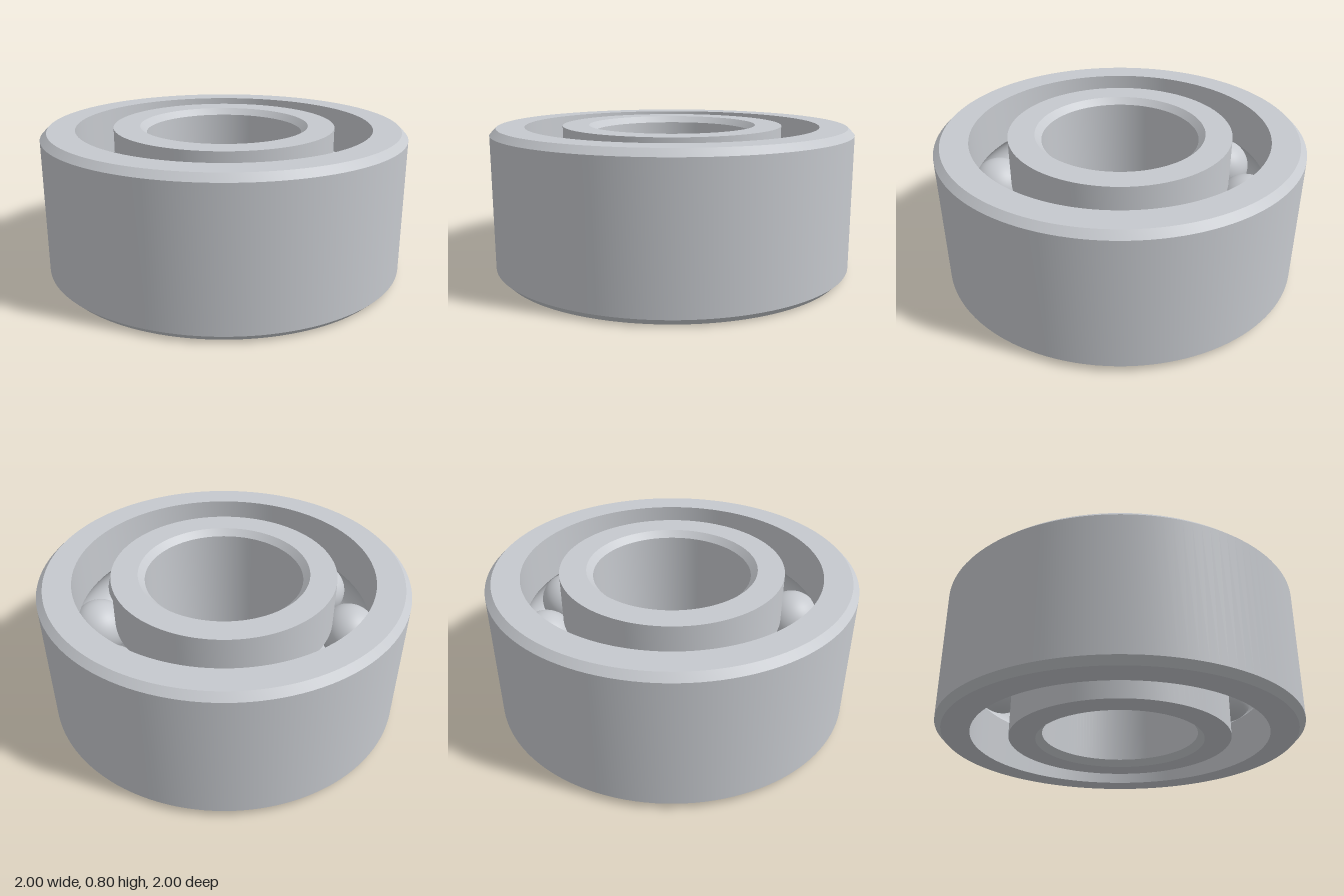
import * as THREE from 'three';
import { toCreasedNormals } from 'three/addons/utils/BufferGeometryUtils.js';

const HEIGHT = 0.8, MID = HEIGHT / 2, CHAMFER = 0.035;
const PITCH = 0.7125, BALL = 0.16, BALLS = 10;
const OUTER = 1, OUTER_IN = 0.815, INNER_OUT = 0.61, BORE = 0.43;

// Points of the ball groove in a ring's profile, between two angles
function groove(side, from, to) {
  const r = BALL + 0.002, points = [];
  const half = Math.acos(Math.abs(side - PITCH) / r);
  const centre = side > PITCH ? 0 : Math.PI;
  for (let i = 0; i <= 16; i++) {
    const a = centre + half * (from + (to - from) * i / 16);
    points.push([PITCH + r * Math.cos(a), MID + r * Math.sin(a)]);
  }
  return points;
}

// Turned ring from a closed profile
function ring(name, profile, material) {
  const points = [...profile, profile[0]].map(([x, y]) => new THREE.Vector2(x, y));
  const geometry = toCreasedNormals(new THREE.LatheGeometry(points, 128), Math.PI / 7);
  const mesh = new THREE.Mesh(geometry, material);
  mesh.name = name;
  return mesh;
}

export function createModel() {
  const model = new THREE.Group();
  model.name = 'ballBearing';
  const steel = new THREE.MeshStandardMaterial({ color: 0xc6c9ce });
  steel.name = 'steel';

  // Outer ring: chamfered outside, grooved inside
  model.add(ring('outerRing', [
    [OUTER_IN, 0], [OUTER - CHAMFER, 0], [OUTER, CHAMFER],
    [OUTER, HEIGHT - CHAMFER], [OUTER - CHAMFER, HEIGHT], [OUTER_IN, HEIGHT],
    ...groove(OUTER_IN, 1, -1),
  ], steel));

  // Inner ring: grooved outside, chamfered bore
  model.add(ring('innerRing', [
    [BORE + CHAMFER, 0], [INNER_OUT, 0],
    ...groove(INNER_OUT, 1, -1),
    [INNER_OUT, HEIGHT], [BORE + CHAMFER, HEIGHT],
    [BORE, HEIGHT - CHAMFER], [BORE, CHAMFER],
  ], steel));

  // Balls evenly spaced in the groove
  const balls = new THREE.Group();
  balls.name = 'balls';
  const sphere = new THREE.SphereGeometry(BALL, 40, 24);
  for (let i = 0; i < BALLS; i++) {
    const a = i / BALLS * Math.PI * 2;
    const ball = new THREE.Mesh(sphere, steel);
    ball.name = 'ball';
    ball.position.set(PITCH * Math.cos(a), MID, PITCH * Math.sin(a));
    balls.add(ball);
  }
  model.add(balls);
  return model;
}
